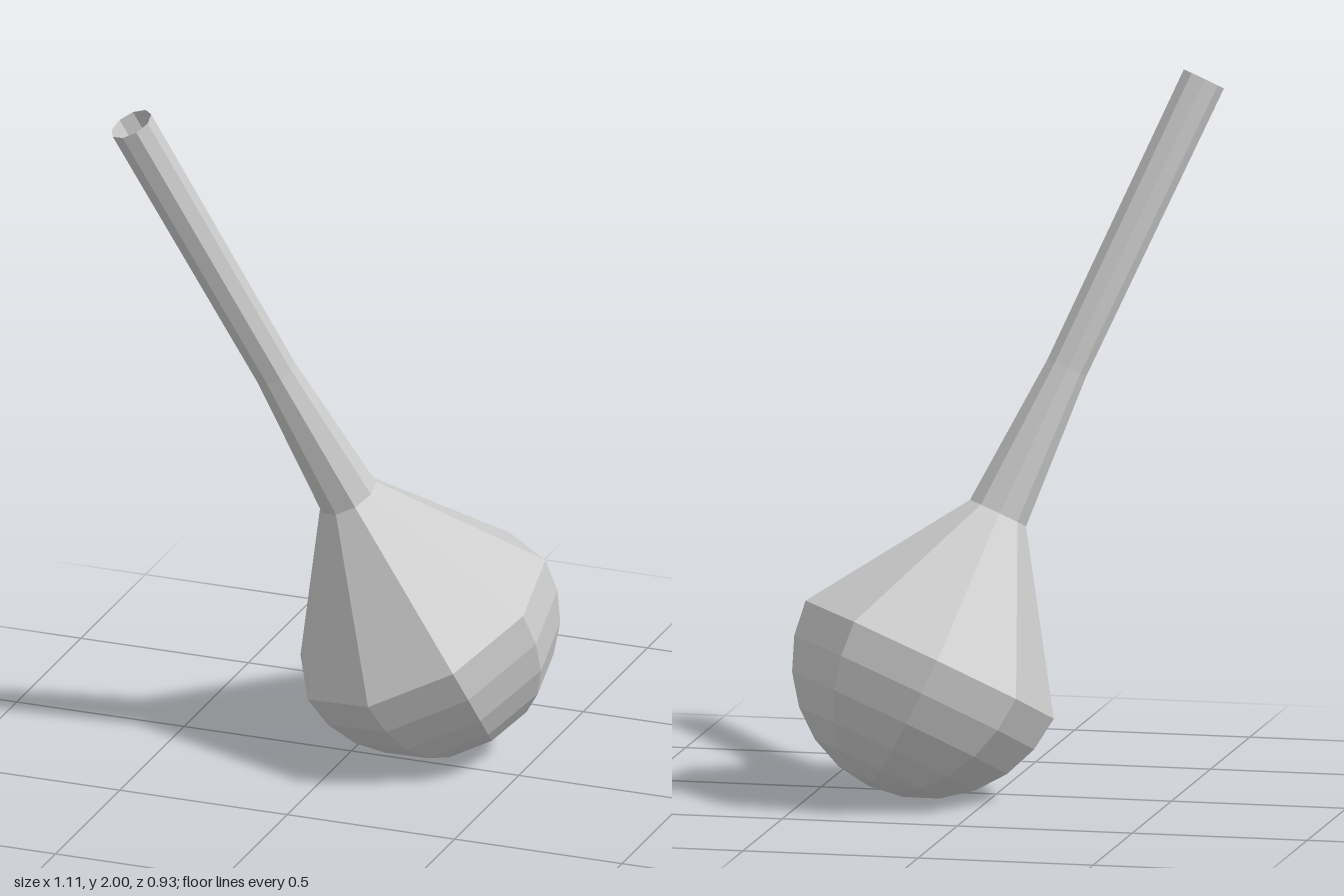
import * as THREE from 'three';

const SIDES = 9;
const BULB_RADIUS = 0.39;

export function createModel() {
  const group = new THREE.Group();
  group.name = 'bulbFlask';
  const material = new THREE.MeshStandardMaterial({
    color: 0xcccccc, flatShading: true, side: THREE.DoubleSide,
  });

  const addTurned = (name, profile, parent) => {
    const points = profile.map(([r, y]) => new THREE.Vector2(r, y));
    const mesh = new THREE.Mesh(new THREE.LatheGeometry(points, SIDES), material);
    mesh.name = name;
    parent.add(mesh);
  };

  // Tilted frame: local y runs up the neck, local z points at a bulb corner
  const axis = new THREE.Vector3(-0.378, 0.8845, 0.2735).normalize();
  const corner = new THREE.Vector3(0.82, 0.46, -0.34);
  corner.addScaledVector(axis, -corner.dot(axis)).normalize();
  const side = new THREE.Vector3().crossVectors(axis, corner);
  const flask = new THREE.Group();
  flask.name = 'flask';
  flask.quaternion.setFromRotationMatrix(new THREE.Matrix4().makeBasis(side, axis, corner));
  flask.position.set(0.177, 0.39, -0.08);
  group.add(flask);

  // Half-round bowl in 15 degree bands
  const bowl = [];
  for (let i = 0; i <= 6; i++) {
    const a = (i * Math.PI) / 12;
    bowl.push([BULB_RADIUS * Math.sin(a), -BULB_RADIUS * Math.cos(a)]);
  }
  addTurned('bowl', bowl, flask);

  // Cone from the bowl up to the neck
  addTurned('shoulder', [[BULB_RADIUS, 0], [0.088, 0.452]], flask);

  // Slender neck, open at the top
  addTurned('neck', [[0.088, 0.452], [0.06, 0.9], [0.063, 1.792]], flask);

  return group;
}
